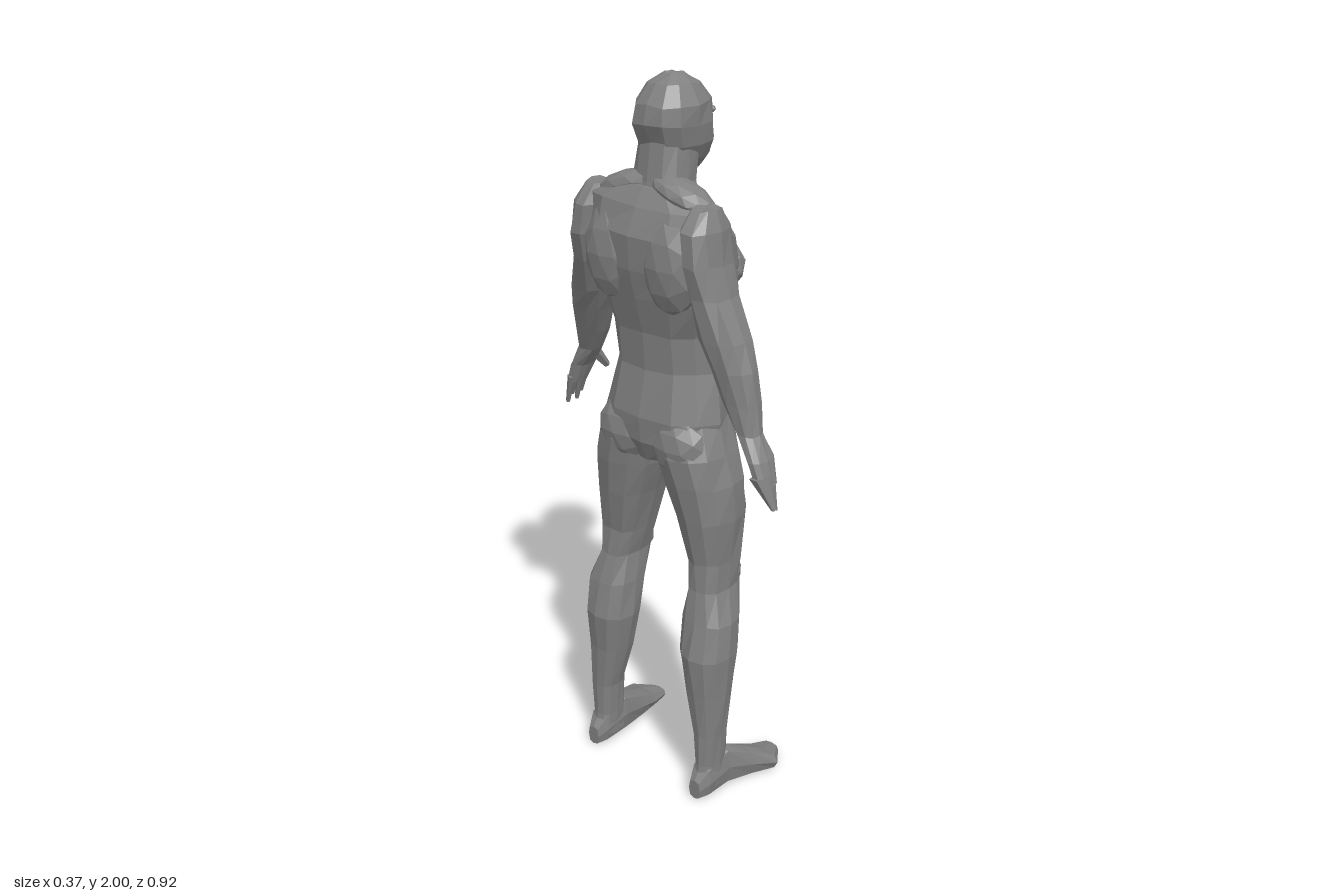
import * as THREE from 'three';

const skin = new THREE.MeshStandardMaterial({ color: 0x808080 });
skin.name = 'grey';

// small seeded noise for the rough, hand-faceted surface
let seed = 7;
const noise = () => {
  seed = (seed * 16807) % 2147483647;
  return seed / 2147483647 - 0.5;
};

const add = (parent, name, geometry) => {
  const flat = geometry.index ? geometry.toNonIndexed() : geometry;
  flat.computeVertexNormals();
  const mesh = new THREE.Mesh(flat, skin);
  mesh.name = name;
  parent.add(mesh);
  return mesh;
};

// Skin over rounded cross-sections. Each section is [t, a0, a1, b0, b1].
// axis 'y': t = y, a = x range, b = z range.  axis 'x': t = x, a = y range, b = z range.
function loft(sections, { axis = 'y', side = 1, sides = 12, power = 0.85, rough = 0.008 } = {}) {
  const pos = [], index = [];
  const bend = (v) => Math.sign(v) * Math.abs(v) ** power;
  const put = (t, a, b) => (axis === 'y' ? pos.push(a, t, b) : pos.push(t, a, b));
  const range = ([t, a0, a1, b0, b1]) => {
    const [lo, hi] = side > 0 ? [b0, b1] : [-b1, -b0];
    return [t, (a0 + a1) / 2, (a1 - a0) / 2, (lo + hi) / 2, (hi - lo) / 2];
  };
  for (const s of sections) {
    const [t, ca, ra, cb, rb] = range(s);
    for (let i = 0; i < sides; i++) {
      const w = (i / sides) * Math.PI * 2;
      const c = bend(Math.cos(w)), d = bend(Math.sin(w));
      const k = 1 + noise() * Math.min(0.12, rough / Math.min(ra, rb));
      // rings turn counter-clockwise about the travel direction
      const [u, v] = axis === 'y' ? [d, c] : [c, d];
      put(t + (axis === 'y' ? noise() * rough : 0), ca + ra * u * k, cb + rb * v * k);
    }
  }
  const n = sections.length;
  for (let j = 0; j < n - 1; j++) {
    for (let i = 0; i < sides; i++) {
      const a = j * sides + i, b = j * sides + ((i + 1) % sides);
      index.push(a, b, b + sides, a, b + sides, a + sides);
    }
  }
  // end caps
  for (const j of [0, n - 1]) {
    const [t, ca, , cb] = range(sections[j]);
    const centre = pos.length / 3;
    put(t, ca, cb);
    for (let i = 0; i < sides; i++) {
      const a = j * sides + i, b = j * sides + ((i + 1) % sides);
      if (j === 0) index.push(centre, b, a);
      else index.push(centre, a, b);
    }
  }
  const g = new THREE.BufferGeometry();
  g.setAttribute('position', new THREE.Float32BufferAttribute(pos, 3));
  g.setIndex(index);
  return g;
}

// faceted muscle mass
function muscle(parent, name, [x, y, z], [rx, ry, rz], tilt = 0) {
  const mesh = add(parent, name, new THREE.IcosahedronGeometry(1, 1).scale(rx, ry, rz));
  mesh.position.set(x, y, z);
  mesh.rotation.x = tilt;
}

// tapered finger between two points
function finger(parent, name, from, to, r) {
  const a = new THREE.Vector3(...from), b = new THREE.Vector3(...to);
  const dir = b.clone().sub(a);
  const mesh = add(parent, name, new THREE.CylinderGeometry(r * 0.55, r, dir.length(), 5));
  mesh.position.copy(a).add(b).multiplyScalar(0.5);
  mesh.quaternion.setFromUnitVectors(new THREE.Vector3(0, 1, 0), dir.normalize());
}

const sym = (rows) => rows.map(([t, a0, a1, h]) => [t, a0, a1, -h, h]);

const TORSO = sym([
  [0.99, -0.11, 0.05, 0.05], [1.05, -0.14, 0.08, 0.165], [1.12, -0.14, 0.085, 0.18],
  [1.25, -0.115, 0.085, 0.158], [1.35, -0.125, 0.085, 0.158], [1.45, -0.155, 0.095, 0.185],
  [1.53, -0.17, 0.1, 0.2], [1.62, -0.175, 0.065, 0.21], [1.69, -0.15, 0.01, 0.205],
  [1.73, -0.12, 0.0, 0.12],
]);
const NECK = sym([[1.66, -0.12, 0.04, 0.1], [1.74, -0.105, 0.035, 0.078], [1.84, -0.09, 0.05, 0.072]]);
const HEAD = sym([
  [1.76, 0.02, 0.09, 0.03], [1.785, -0.06, 0.105, 0.055], [1.83, -0.09, 0.108, 0.077],
  [1.88, -0.113, 0.105, 0.088], [1.93, -0.108, 0.097, 0.085], [1.975, -0.07, 0.06, 0.058],
  [1.998, -0.025, 0.02, 0.02],
]);
const LEG = [
  [0.03, -0.13, -0.02, 0.165, 0.235], [0.1, -0.122, -0.02, 0.165, 0.235],
  [0.2, -0.12, -0.022, 0.16, 0.24], [0.33, -0.13, 0.0, 0.13, 0.247],
  [0.45, -0.145, 0.02, 0.107, 0.255], [0.55, -0.125, 0.035, 0.107, 0.25],
  [0.64, -0.1, 0.06, 0.115, 0.215], [0.72, -0.095, 0.065, 0.095, 0.22],
  [0.85, -0.115, 0.085, 0.055, 0.23], [0.95, -0.13, 0.085, 0.02, 0.225],
  [1.03, -0.14, 0.085, 0.0, 0.205], [1.12, -0.125, 0.08, 0.02, 0.175],
];
const FOOT = [
  [-0.14, 0.0, 0.06, 0.18, 0.22], [-0.11, 0.0, 0.1, 0.165, 0.237], [-0.03, 0.0, 0.13, 0.165, 0.24],
  [0.05, 0.0, 0.09, 0.175, 0.265], [0.12, 0.0, 0.055, 0.185, 0.295], [0.18, 0.005, 0.035, 0.2, 0.25],
];
const ARM = [
  [1.06, -0.17, -0.105, 0.405, 0.447], [1.12, -0.175, -0.09, 0.38, 0.425],
  [1.18, -0.16, -0.095, 0.33, 0.395], [1.25, -0.165, -0.075, 0.285, 0.382],
  [1.33, -0.17, -0.07, 0.24, 0.362], [1.4, -0.17, -0.06, 0.205, 0.335],
  [1.5, -0.175, -0.04, 0.175, 0.28], [1.58, -0.185, -0.03, 0.16, 0.257],
  [1.66, -0.18, -0.03, 0.15, 0.243], [1.71, -0.14, -0.06, 0.16, 0.225],
];
// how far the right arm swings forward at each arm section
const SWING = [0.19, 0.19, 0.175, 0.15, 0.12, 0.09, 0.05, 0.03, 0.03, 0.03];

export function createModel() {
  const figure = new THREE.Group();
  figure.name = 'figure';

  add(figure, 'torso', loft(TORSO));
  add(figure, 'neck', loft(NECK));
  add(figure, 'head', loft(HEAD));
  muscle(figure, 'nose', [0.1, 1.855, 0], [0.018, 0.03, 0.016]);
  muscle(figure, 'brow', [0.088, 1.9, 0], [0.022, 0.014, 0.06]);
  muscle(figure, 'groin', [0.06, 1.03, 0], [0.04, 0.045, 0.03]);

  for (const s of [1, -1]) {
    const label = s > 0 ? 'left' : 'right';

    // trunk muscles
    muscle(figure, label + 'Pectoral', [0.045, 1.53, s * 0.09], [0.062, 0.075, 0.1], s * 0.2);
    muscle(figure, label + 'ShoulderBlade', [-0.12, 1.55, s * 0.1], [0.06, 0.13, 0.09]);
    muscle(figure, label + 'Trapezius', [-0.07, 1.72, s * 0.09], [0.055, 0.035, 0.1], s * 0.3);
    muscle(figure, label + 'Buttock', [-0.085, 1.05, s * 0.095], [0.06, 0.09, 0.09]);
    for (let i = 0; i < 3; i++) {
      muscle(figure, label + 'Abdominal', [0.074, 1.22 + i * 0.085, s * 0.042], [0.02, 0.045, 0.042]);
    }

    // leg and foot
    const leg = new THREE.Group();
    leg.name = label + 'Leg';
    figure.add(leg);
    add(leg, 'legBody', loft(LEG, { side: s }));
    add(leg, 'foot', loft(FOOT, { axis: 'x', side: s, sides: 8, power: 0.7, rough: 0 }));
    muscle(leg, 'kneecap', [0.04, 0.66, s * 0.163], [0.03, 0.05, 0.04]);

    // arm
    const arm = new THREE.Group();
    arm.name = label + 'Arm';
    figure.add(arm);
    const rows = ARM.map(([y, x0, x1, z0, z1], i) => {
      const d = s > 0 ? 0 : SWING[i];
      return [y, x0 + d, x1 + d, z0, z1];
    });
    add(arm, 'armBody', loft(rows, { side: s, sides: 10 }));

    // left hand is held closed in a point, right hand has spread fingers
    if (s > 0) {
      const tips = [[1.0, -0.15, -0.13, 0.45, 0.462], [1.08, -0.185, -0.1, 0.395, 0.44]];
      add(arm, 'fingers', loft(tips, { sides: 6 }));
      finger(arm, 'thumb', [-0.1, 1.14, 0.375], [-0.06, 1.09, 0.357], 0.018);
    } else {
      for (let i = 0; i < 4; i++) {
        const x = 0.025 + i * 0.018;
        finger(arm, 'finger', [x, 1.08, -0.42], [x + 0.012, 0.99 + (i % 2) * 0.02, -0.45], 0.012);
      }
      finger(arm, 'thumb', [0.08, 1.15, -0.375], [0.122, 1.1, -0.372], 0.018);
    }
  }
  return figure;
}
